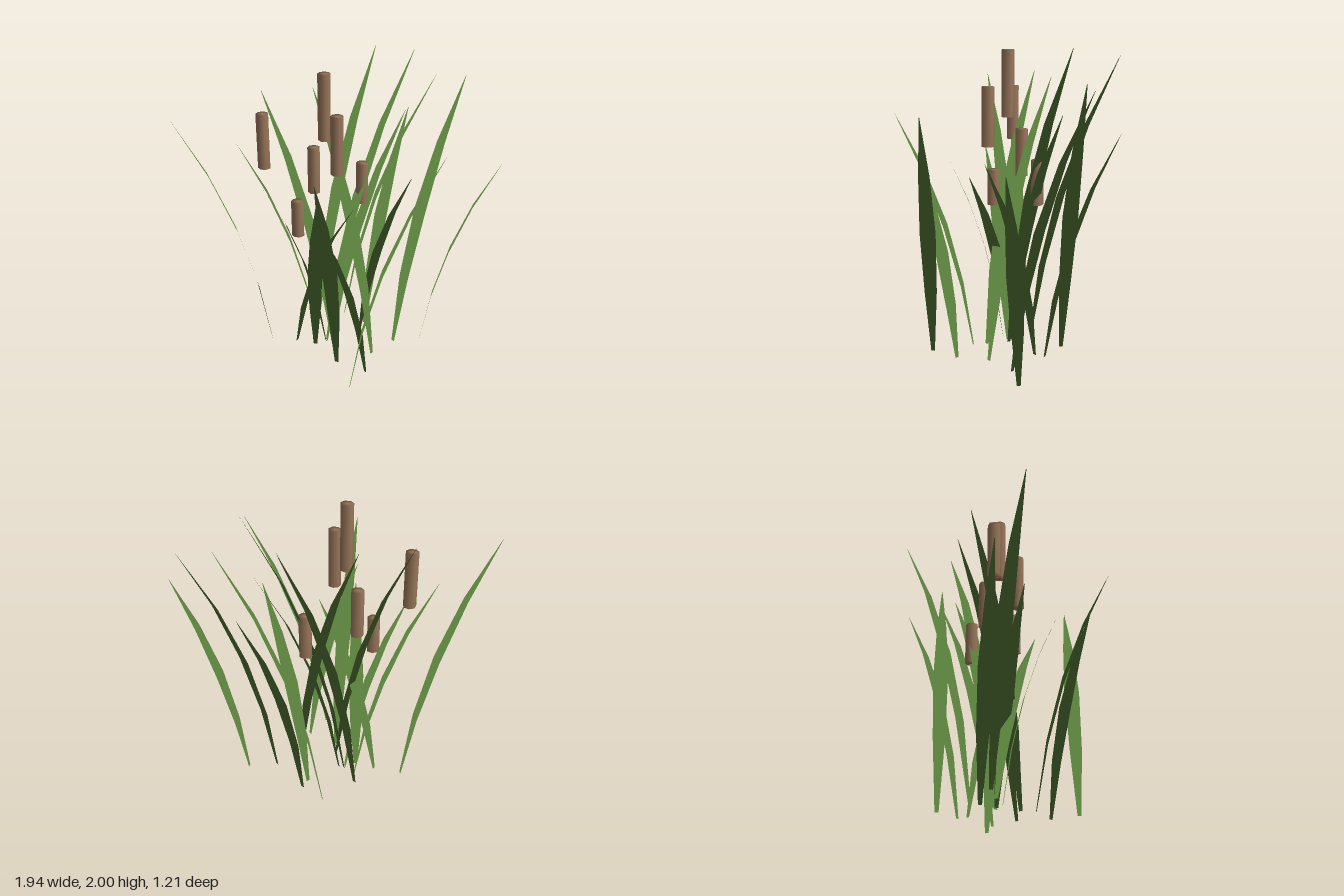
import * as THREE from 'three';
import { mergeVertices } from 'three/addons/utils/BufferGeometryUtils.js';

// Blades: base x, base z, tip x, tip z, height
const BLADES = [
  [-0.41, -0.27, -0.97, -0.28, 1.70],
  [-0.09, -0.22, -0.57, -0.32, 1.48],
  [-0.06, -0.11, -0.47, -0.09, 1.27],
  [-0.04, 0.05, -0.38, -0.41, 1.78],
  [-0.06, 0.14, -0.32, 0.57, 1.55],
  [0.09, 0.30, -0.29, 0.44, 1.27],
  [-0.14, -0.10, -0.22, 0.24, 1.24],
  [-0.25, -0.18, 0.04, 0.19, 1.18],
  [-0.06, 0.42, 0.44, 0.60, 1.64],
  [0.22, -0.19, 0.40, 0.21, 1.34],
  [0.58, 0.06, 0.97, 0.29, 1.40],
  [-0.08, -0.28, 0.45, -0.61, 1.94],
  [0.27, -0.24, 0.665, -0.52, 1.52],
  [0.17, -0.40, 0.74, -0.26, 1.82],
  [0.39, 0.03, 0.93, -0.215, 1.81],
  [-0.05, -0.12, 0.575, -0.25, 2.00],
  [-0.02, -0.10, 0.52, -0.22, 1.62],
  [0.20, 0.12, -0.05, -0.39, 1.77],
];

// Seed heads: x, z, bottom, top
const HEADS = [
  [-0.41, -0.265, 1.32, 1.68],
  [-0.25, -0.07, 0.91, 1.15],
  [-0.10, -0.21, 1.13, 1.44],
  [-0.06, -0.10, 1.53, 1.95],
  [-0.025, 0.045, 1.355, 1.73],
  [0.22, -0.19, 1.02, 1.30],
];

// Blade width at each of five evenly spaced cross-sections
const WIDTHS = [0.024, 0.078, 0.098, 0.066, 0.003];

// Flat tapered strip that arches outward, with upward normals for even shading
function bladeGeometry([bx, bz, tx, tz, height]) {
  const dx = tx - bx, dz = tz - bz, len = Math.hypot(dx, dz);
  const sx = -dz / len, sz = dx / len;
  const positions = [], normals = [], indices = [];
  WIDTHS.forEach((width, i) => {
    const t = i / (WIDTHS.length - 1);
    const out = 0.44 * t + 0.56 * t * t;
    const y = height * (1.12 * t - 0.12 * t * t);
    for (const side of [-0.5, 0.5]) {
      positions.push(bx + dx * out + sx * width * side, y, bz + dz * out + sz * width * side);
      normals.push(0, 1, 0);
    }
    if (i === 0) return;
    const a = 2 * i - 2, b = a + 1, c = a + 2, d = a + 3;
    indices.push(a, b, c, b, d, c);
  });
  const geometry = new THREE.BufferGeometry();
  geometry.setAttribute('position', new THREE.Float32BufferAttribute(positions, 3));
  geometry.setAttribute('normal', new THREE.Float32BufferAttribute(normals, 3));
  geometry.setIndex(indices);
  return geometry;
}

// Seven-sided cylinder whose caps and sides share smooth normals
function headGeometry(height) {
  const cylinder = new THREE.CylinderGeometry(0.041, 0.041, height, 7);
  cylinder.deleteAttribute('normal');
  cylinder.deleteAttribute('uv');
  const geometry = mergeVertices(cylinder);
  geometry.computeVertexNormals();
  return geometry;
}

export function createModel() {
  const model = new THREE.Group();
  model.name = 'reeds';

  const leafGreen = new THREE.MeshStandardMaterial({ color: 0x5a823c, side: THREE.DoubleSide });
  leafGreen.name = 'leaf green';
  const headBrown = new THREE.MeshStandardMaterial({ color: 0x98765a });
  headBrown.name = 'seed head brown';

  // Leaves
  const leaves = new THREE.Group();
  leaves.name = 'leaves';
  BLADES.forEach((blade, i) => {
    const mesh = new THREE.Mesh(bladeGeometry(blade), leafGreen);
    mesh.name = `leaf${i + 1}`;
    leaves.add(mesh);
  });

  // Seed heads
  const heads = new THREE.Group();
  heads.name = 'seedHeads';
  HEADS.forEach(([x, z, bottom, top], i) => {
    const mesh = new THREE.Mesh(headGeometry(top - bottom), headBrown);
    mesh.position.set(x, (top + bottom) / 2, z);
    mesh.name = `seedHead${i + 1}`;
    heads.add(mesh);
  });

  model.add(leaves, heads);
  return model;
}
